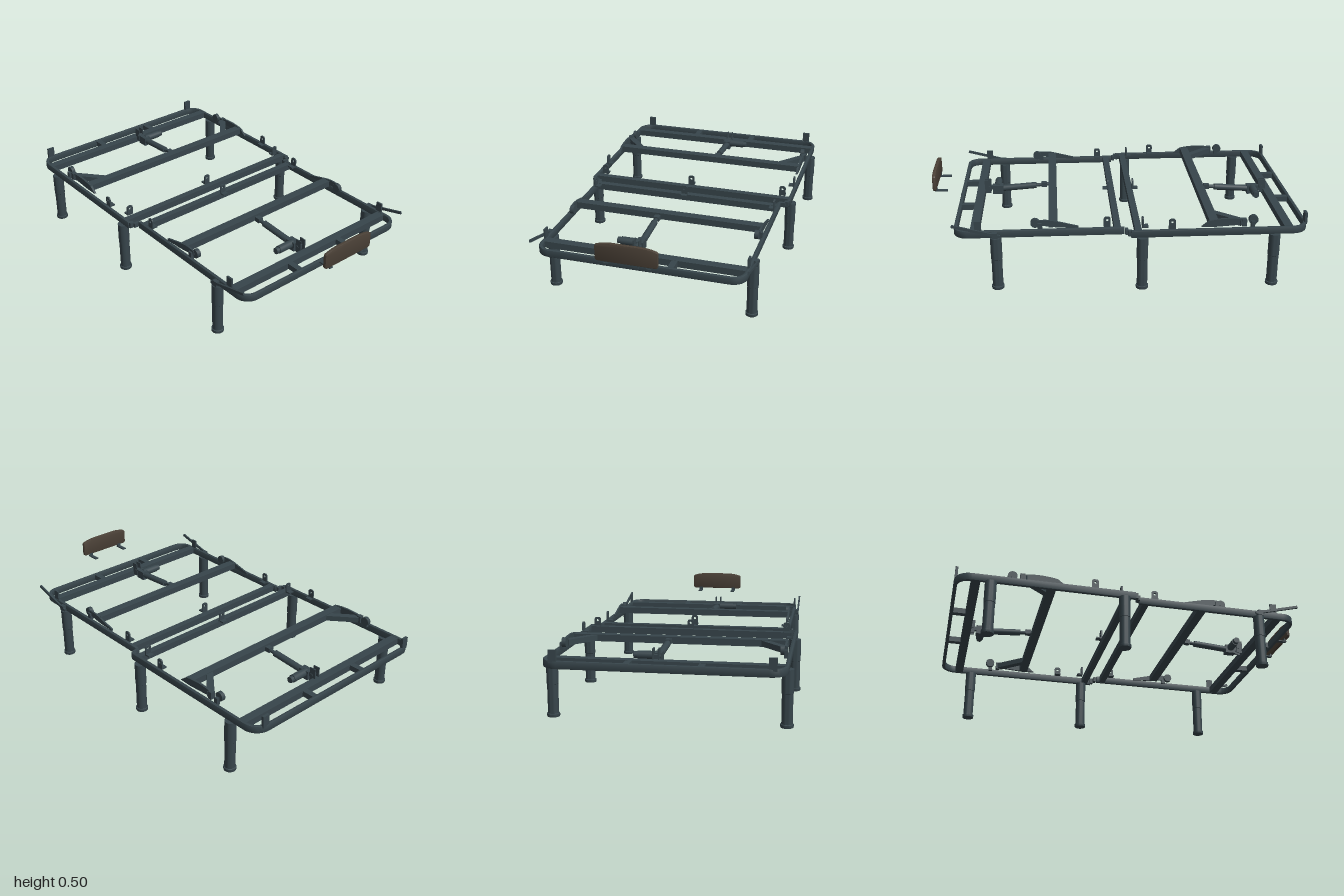
import * as THREE from 'three';
import { toCreasedNormals } from 'three/addons/utils/BufferGeometryUtils.js';

export function createModel() {
  const root = new THREE.Group();
  root.name = 'adjustableBedFrame';
  const steel = new THREE.MeshStandardMaterial({ color: 0x37454b });
  steel.name = 'slate steel';
  const brown = new THREE.MeshStandardMaterial({ color: 0x4a4036 });
  brown.name = 'dark brown';

  const add = (name, geo, x = 0, y = 0, z = 0, parent = root, mat = steel) => {
    const m = new THREE.Mesh(geo, mat);
    m.name = name;
    m.position.set(x, y, z);
    parent.add(m);
    return m;
  };
  // box given by centre and size
  const box = (name, x, y, z, w, h, d, parent = root) =>
    add(name, new THREE.BoxGeometry(w, h, d), x, y, z, parent);
  // round or square bar between two points
  const bar = (name, a, b, r, sides = 20, parent = root, r2 = r) => {
    const p = new THREE.Vector3(...a), q = new THREE.Vector3(...b);
    const dir = q.clone().sub(p);
    const m = add(name, new THREE.CylinderGeometry(r2, r, dir.length(), sides), 0, 0, 0, parent);
    m.position.copy(p).add(q).multiplyScalar(0.5);
    m.quaternion.setFromUnitVectors(new THREE.Vector3(0, 1, 0), dir.normalize());
    return m;
  };
  const extrude = (shape, depth, bevel = 0) => toCreasedNormals(new THREE.ExtrudeGeometry(shape, {
    depth, bevelEnabled: bevel > 0, bevelSize: bevel, bevelOffset: -bevel,
    bevelThickness: bevel, bevelSegments: 2, curveSegments: 12,
  }), 0.6);

  // U-shaped rail, rounded at zEnd and open at zOpen
  const uRail = (name, halfWidth, zOpen, zEnd, radius, t) => {
    const s = Math.sign(zEnd - zOpen);
    const path = (inset) => {
      const w = halfWidth - inset, r = radius - inset, ze = zEnd - s * inset;
      const pts = [new THREE.Vector2(w, zOpen)];
      for (const side of [1, -1]) {
        for (let i = 0; i <= 10; i++) {
          const a = (side > 0 ? i : 10 - i) / 10 * Math.PI / 2;
          pts.push(new THREE.Vector2(side * (w - r + r * Math.cos(a)), ze - s * (r - r * Math.sin(a))));
        }
      }
      pts.push(new THREE.Vector2(-w, zOpen));
      return pts;
    };
    const geo = extrude(new THREE.Shape([...path(0), ...path(t).reverse()]), 0.032, 0.004);
    geo.rotateX(Math.PI / 2);
    add(name, geo, 0, 0.326, 0);
  };
  uRail('rearRail', 0.598, -0.06, -0.997, 0.085, 0.018);
  uRail('frontRail', 0.55, -0.03, 0.86, 0.075, 0.018);

  // crossbars: z, half length, depth, centre height
  for (const [z, half, d, y] of [
    [-0.89, 0.59, 0.046, 0.31], [-0.495, 0.57, 0.048, 0.348], [-0.1, 0.585, 0.035, 0.31],
    [0.006, 0.54, 0.035, 0.31], [0.342, 0.522, 0.048, 0.348], [0.75, 0.54, 0.046, 0.31],
  ]) box('crossbar', 0, y, z, half * 2, 0.036, d);

  // short ties between end rails and end crossbars
  for (const x of [-0.19, 0.172]) box('rearTie', x, 0.312, -0.95, 0.032, 0.03, 0.08);
  for (const x of [-0.175, 0.172]) box('frontTie', x, 0.312, 0.808, 0.032, 0.03, 0.08);
  box('frontRailButton', 0, 0.312, 0.86, 0.03, 0.015, 0.008);

  // legs with wider feet
  const legProfile = [[0, 0], [0.032, 0], [0.033, 0.004], [0.033, 0.016], [0.028, 0.018], [0.028, 0.17],
    [0.03, 0.172], [0.03, 0.292], [0, 0.292]].map((p) => new THREE.Vector2(...p));
  const legGeo = toCreasedNormals(new THREE.LatheGeometry(legProfile, 24), 0.6);

  // upright tab with a hole, facing z or turned to face x
  const tabShape = new THREE.Shape();
  tabShape.moveTo(-0.018, 0);
  tabShape.lineTo(0.018, 0);
  tabShape.lineTo(0.018, 0.042);
  tabShape.quadraticCurveTo(0.018, 0.057, 0.004, 0.057);
  tabShape.lineTo(-0.004, 0.057);
  tabShape.quadraticCurveTo(-0.018, 0.057, -0.018, 0.042);
  const hole = new THREE.Path();
  hole.absarc(0, 0.038, 0.007, 0, Math.PI * 2, true);
  tabShape.holes.push(hole);
  const tabGeo = extrude(tabShape, 0.008);
  const tab = (name, x, z, turn) => {
    const g = new THREE.Group();
    g.name = name;
    add('tabPlate', tabGeo, 0, 0, -0.004, g);
    box('tabBase', 0, 0.004, 0.014, 0.034, 0.008, 0.03, g);
    g.position.set(x, 0.328, z);
    g.rotation.y = turn;
    root.add(g);
  };
  tab('centreTab', 0, 0.026, 0);
  tab('centreTab', 0, -0.118, Math.PI);

  // side parts, mirrored left and right
  for (const s of [1, -1]) {
    for (const [x, z] of [[0.545, 0.64], [0.592, -0.12], [0.59, -0.815]]) add('leg', legGeo, s * x, 0, z);

    tab('hingeTab', s * 0.54, -0.125, Math.PI);
    tab('frontSideTab', s * 0.53, 0.06, s * -Math.PI / 2);
    tab('rearSideTab', s * 0.58, -0.275, s * -Math.PI / 2);
    box('rearCornerPost', s * 0.53, 0.352, -0.988, 0.04, 0.064, 0.014);
    box('frontSidePost', s * 0.542, 0.352, 0.73, 0.01, 0.06, 0.036);

    // hinge joining the two rails
    box('hingeOuter', s * 0.58, 0.312, -0.056, 0.024, 0.03, 0.02);
    box('hingeInner', s * 0.556, 0.312, -0.04, 0.036, 0.026, 0.016);

    // rear lift arm, pivot and diagonal gusset
    const rearArm = new THREE.Shape();
    rearArm.moveTo(-0.43, 0.332);
    rearArm.lineTo(-0.47, 0.364);
    rearArm.quadraticCurveTo(-0.56, 0.384, -0.66, 0.368);
    rearArm.lineTo(-0.66, 0.34);
    rearArm.lineTo(-0.5, 0.33);
    const armGeo = extrude(rearArm, 0.012).rotateY(-Math.PI / 2);
    add('rearLiftArm', armGeo, s * 0.568 + 0.006, 0, 0);
    box('rearArmBracket', s * 0.568, 0.35, -0.655, 0.026, 0.04, 0.024);
    bar('rearRoller', [s * 0.545, 0.36, -0.705], [s * 0.566, 0.36, -0.705], 0.025);
    box('rearRollerMount', s * 0.572, 0.338, -0.7, 0.02, 0.04, 0.02);
    const gusset = box('gusset', s * 0.506, 0.348, -0.578, 0.036, 0.03, 0.18);
    gusset.rotation.y = s * -Math.atan2(0.11, 0.13);

    // front lift arm and pivot
    const frontArm = new THREE.Shape();
    frontArm.moveTo(0.21, 0.325);
    frontArm.lineTo(0.21, 0.336);
    frontArm.lineTo(0.32, 0.364);
    frontArm.quadraticCurveTo(0.38, 0.38, 0.43, 0.37);
    frontArm.lineTo(0.43, 0.348);
    frontArm.lineTo(0.32, 0.332);
    add('frontLiftArm', extrude(frontArm, 0.01).rotateY(-Math.PI / 2), s * 0.526 + 0.005, 0, 0);
    bar('frontRoller', [s * 0.504, 0.355, 0.435], [s * 0.526, 0.355, 0.435], 0.024);
    box('frontRollerMount', s * 0.53, 0.34, 0.41, 0.02, 0.04, 0.024);

    // slanted lever beside the front corner
    const lever = box('cornerLever', s * 0.567, 0.338, 0.74, 0.01, 0.014, 0.255);
    lever.rotation.x = -0.26;
    box('leverPivot', s * 0.56, 0.31, 0.645, 0.024, 0.03, 0.03);
  }

  // lift motor, used once at each end with a half turn
  const actuator = (name) => {
    const g = new THREE.Group();
    g.name = name;
    const x = 0.046;
    bar('outerTube', [x, 0.327, -0.8], [x, 0.342, -0.585], 0.018, 20, g);
    bar('pushRod', [x, 0.342, -0.585], [x, 0.348, -0.51], 0.01, 16, g);
    box('rodClevis', x, 0.347, -0.54, 0.03, 0.026, 0.03, g);
    box('gearHousing', x, 0.325, -0.805, 0.042, 0.05, 0.06, g);
    bar('motor', [0.05, 0.333, -0.806], [0.15, 0.333, -0.806], 0.021, 20, g);
    bar('motorCap', [0.15, 0.333, -0.806], [0.17, 0.333, -0.806], 0.017, 20, g);
    for (const dx of [-0.014, 0.014]) box('mountEar', x + dx, 0.344, -0.862, 0.006, 0.076, 0.036, g);
    bar('mountPin', [x - 0.02, 0.34, -0.855], [x + 0.02, 0.34, -0.855], 0.009, 14, g);
    box('mountLink', x, 0.335, -0.845, 0.02, 0.024, 0.04, g);
    root.add(g);
    return g;
  };
  actuator('rearActuator');
  const front = actuator('frontActuator');
  front.rotation.y = Math.PI;
  front.position.z = -0.15;

  // mattress stop plate with arched top and two flat feet
  const stop = new THREE.Shape();
  stop.moveTo(-0.145, 0.4);
  stop.lineTo(0.145, 0.4);
  stop.quadraticCurveTo(0.16, 0.4, 0.16, 0.415);
  stop.lineTo(0.16, 0.475);
  stop.quadraticCurveTo(0.16, 0.486, 0.148, 0.488);
  stop.quadraticCurveTo(0.11, 0.5, 0.06, 0.5);
  stop.lineTo(-0.06, 0.5);
  stop.quadraticCurveTo(-0.11, 0.5, -0.148, 0.488);
  stop.quadraticCurveTo(-0.16, 0.486, -0.16, 0.475);
  stop.lineTo(-0.16, 0.415);
  stop.quadraticCurveTo(-0.16, 0.4, -0.145, 0.4);
  add('mattressStop', extrude(stop, 0.012, 0.003), 0, 0, 0.984, root, brown);
  for (const x of [-0.11, 0.11]) {
    box('stopFoot', x, 0.387, 0.958, 0.022, 0.006, 0.07);
    box('stopUpright', x, 0.396, 0.984, 0.022, 0.022, 0.008);
  }
  return root;
}
